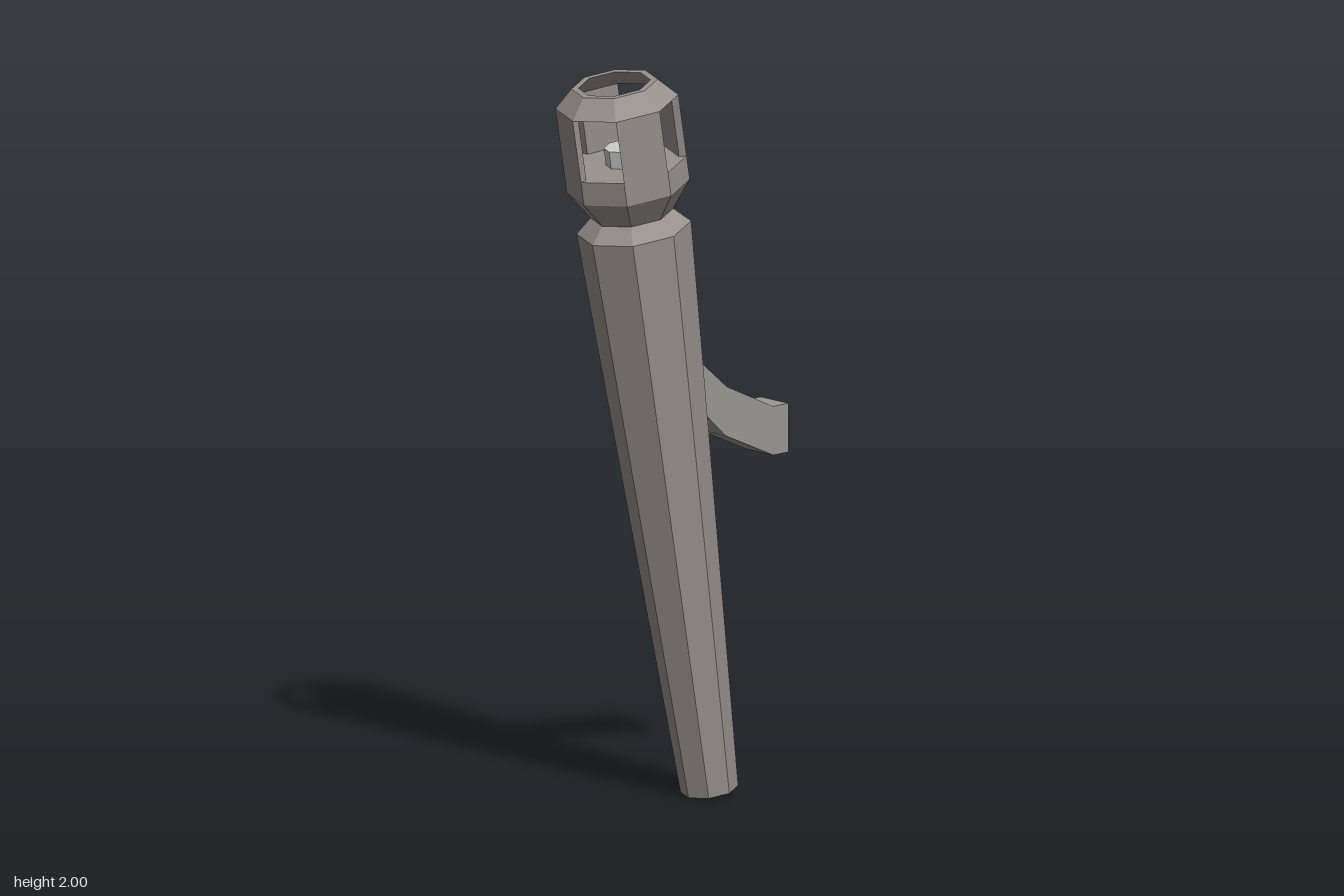
import * as THREE from 'three';

const SIDES = 8;
const TILT = THREE.MathUtils.degToRad(10);

export function createModel() {
  const makeMaterial = (color) => new THREE.MeshStandardMaterial({ color, flatShading: true });
  const iron = makeMaterial(0x98918e);
  const bracketIron = makeMaterial(0x9a9794);
  const pale = makeMaterial(0xcccccc);

  const model = new THREE.Group();
  model.name = 'wallTorch';

  const add = (parent, name, geometry, material) => {
    const mesh = new THREE.Mesh(geometry, material);
    mesh.name = name;
    parent.add(mesh);
    return mesh;
  };
  // Octagonal turned part from [radius, height] pairs, a corner facing front
  const turned = (profile) =>
    new THREE.LatheGeometry(profile.map(([r, y]) => new THREE.Vector2(r, y)), SIDES);

  // Everything but the bracket leans forward
  const torch = new THREE.Group();
  torch.name = 'torch';
  torch.position.set(0, 0.015, -0.126);
  torch.rotation.x = TILT;
  model.add(torch);

  // Tapered handle with a chamfered shoulder
  add(torch, 'handle', turned([[0, 0], [0.077, 0], [0.153, 1.588], [0.11, 1.628], [0, 1.628]]), iron);

  // Lantern head: cup with floor, then the open collar on top
  const floorY = 1.77, eaveY = 1.943, outer = 0.164, inner = 0.144;
  add(torch, 'headCup', turned([[0.108, 1.625], [outer, 1.705], [outer, floorY], [0, floorY]]), iron);
  add(torch, 'headCollar', turned([
    [outer, eaveY], [0.115, 1.993], [0.096, 1.993], [inner, eaveY], [outer, eaveY],
  ]), iron);

  // Four wall panels on alternate faces, leaving windows between them
  for (let i = 0; i < 4; i++) {
    const a = Math.PI / 4 + i * Math.PI / 2;
    const b = a + Math.PI / 4;
    const corner = (r, t) => new THREE.Vector2(r * Math.sin(t), -r * Math.cos(t));
    const shape = new THREE.Shape([corner(outer, a), corner(outer, b), corner(inner, b), corner(inner, a)]);
    const panel = new THREE.ExtrudeGeometry(shape, { depth: eaveY - floorY, bevelEnabled: false });
    panel.rotateX(-Math.PI / 2);
    add(torch, 'headPanel', panel, iron).position.y = floorY;
  }

  // Small burner and wick on the cup floor
  add(torch, 'burner', turned([[0.051, floorY], [0.051, 1.818], [0, 1.818]]), pale);
  add(torch, 'wick', turned([[0.003, 1.818], [0.003, 1.832], [0, 1.832]]), iron);

  // Bent wall bracket, side profile as [z, y]
  const bracketProfile = [
    [-0.045, 1.195], [-0.148, 1.108], [-0.317, 1.029], [-0.373, 1.029],
    [-0.373, 0.897], [-0.317, 0.897], [-0.143, 0.976], [-0.045, 1.067],
  ];
  const bracketShape = new THREE.Shape(bracketProfile.map(([z, y]) => new THREE.Vector2(z, y)));
  const bracket = new THREE.ExtrudeGeometry(bracketShape, { depth: 0.108, bevelEnabled: false });
  bracket.rotateY(-Math.PI / 2);
  add(model, 'wallBracket', bracket, bracketIron).position.x = 0.045;

  return model;
}
